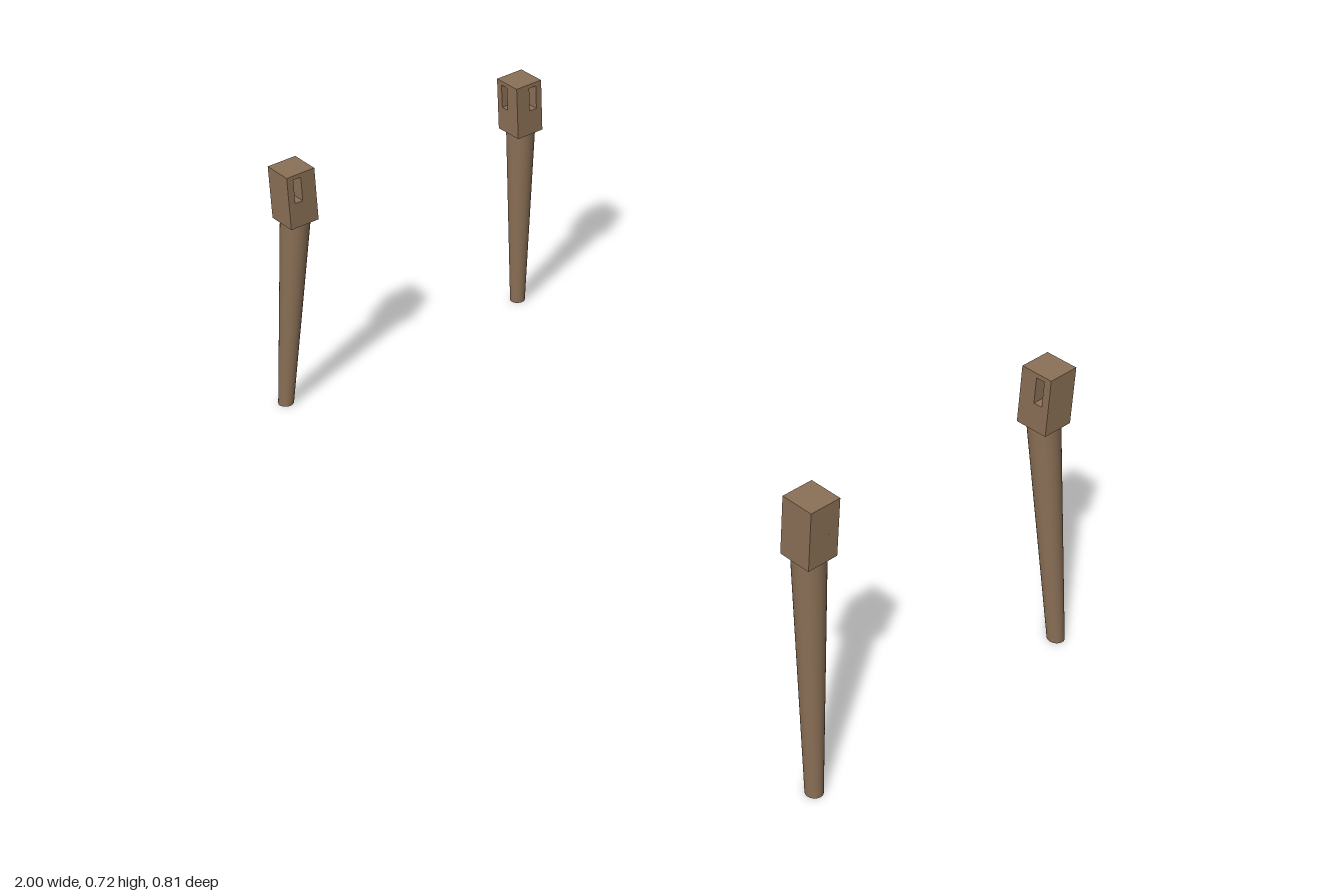
import * as THREE from 'three';

const BLOCK = { outerX: 0.943, outerZ: 0.397, size: 0.081, bottom: 0.573, top: 0.717 };
const SLOT = { near: 0.018, far: 0.04, floor: 0.042, bottom: 0.641, top: 0.706 };

// Horizontal slab; footprint points are measured inward from the outer corner.
function slab(points, sx, sz, y0, y1) {
  const shape = new THREE.Shape(points.map(([u, v]) =>
    new THREE.Vector2(sx * (BLOCK.outerX - u), -sz * (BLOCK.outerZ - v))));
  return new THREE.ExtrudeGeometry(shape, { depth: y1 - y0, bevelEnabled: false })
    .rotateX(-Math.PI / 2).translate(0, y0, 0);
}

// Tapered round shaft, sheared so both ends stay level.
function splayedShaft(sx, sz) {
  const h = BLOCK.bottom, top = [0.903, 0.357], foot = [0.9795, 0.387];
  const geo = new THREE.CylinderGeometry(0.038, 0.0205, h, 40).translate(0, h / 2, 0);
  const p = geo.attributes.position;
  for (let i = 0; i < p.count; i++) {
    const t = p.getY(i) / h;
    p.setX(i, p.getX(i) + sx * THREE.MathUtils.lerp(foot[0], top[0], t));
    p.setZ(i, p.getZ(i) + sz * THREE.MathUtils.lerp(foot[1], top[1], t));
  }
  geo.computeBoundingSphere();
  return geo;
}

export function createModel() {
  const model = new THREE.Group();
  model.name = 'tableLegs';
  const wood = new THREE.MeshStandardMaterial({ color: 0x8b7056 });

  const s = BLOCK.size, { near, far, floor } = SLOT;
  const square = [[0, 0], [s, 0], [s, s], [0, s]];
  // Square with a mortise cut into each of the two inner faces
  const mortised = [
    [0, 0], [s, 0], [s, near], [floor, near], [floor, far], [s, far],
    [s, s], [far, s], [far, floor], [near, floor], [near, s], [0, s],
  ];

  for (const sx of [-1, 1]) {
    for (const sz of [-1, 1]) {
      const leg = new THREE.Group();
      leg.name = (sz > 0 ? 'front' : 'back') + (sx > 0 ? 'Left' : 'Right') + 'Leg';
      const add = (name, geometry) => {
        const mesh = new THREE.Mesh(geometry, wood);
        mesh.name = name;
        leg.add(mesh);
      };
      add('shaft', splayedShaft(sx, sz));
      add('blockBase', slab(square, sx, sz, BLOCK.bottom, SLOT.bottom));
      add('blockMortises', slab(mortised, sx, sz, SLOT.bottom, SLOT.top));
      add('blockTop', slab(square, sx, sz, SLOT.top, BLOCK.top));
      model.add(leg);
    }
  }
  return model;
}
